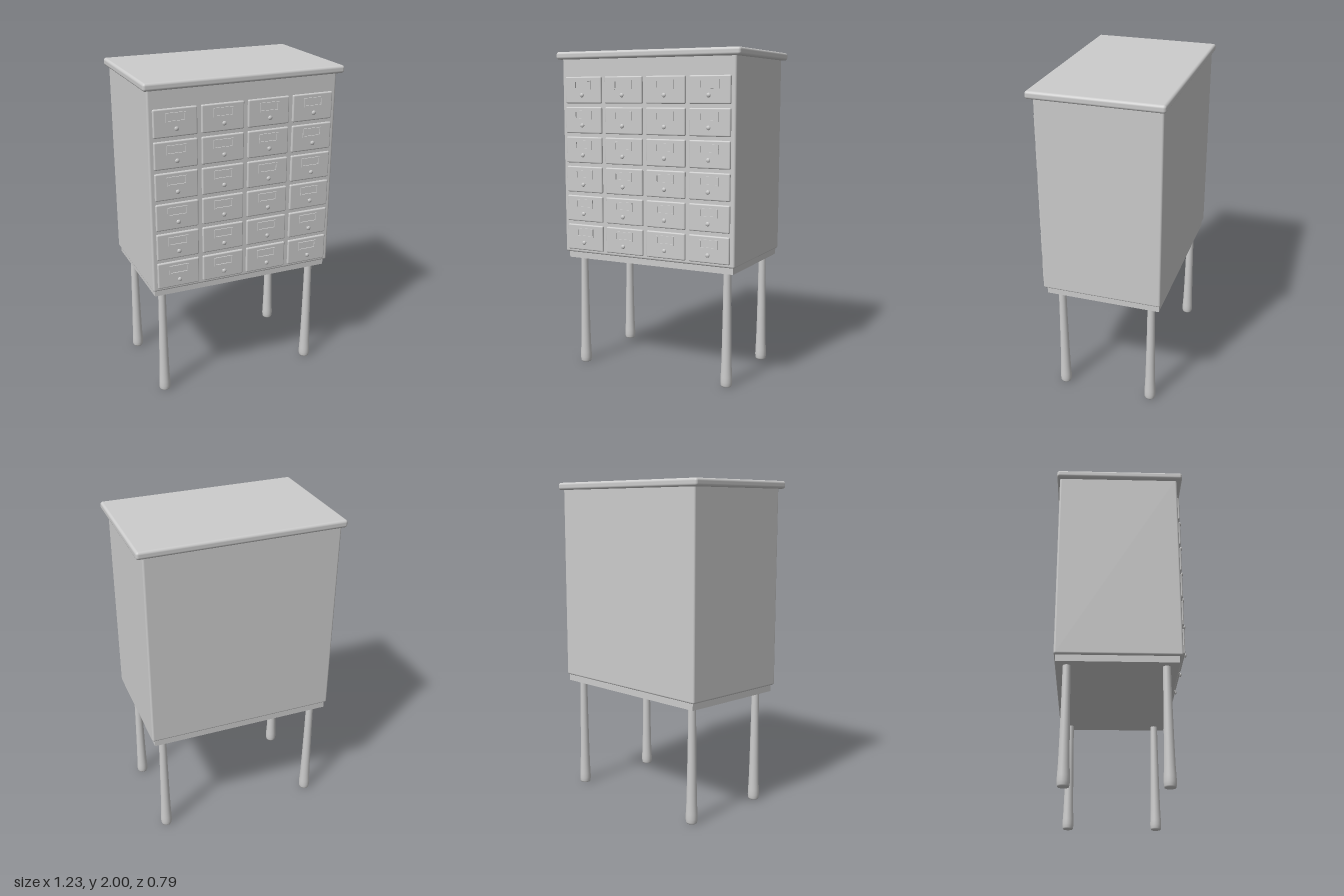
import * as THREE from 'three';
import { RoundedBoxGeometry } from 'three/addons/geometries/RoundedBoxGeometry.js';

const material = new THREE.MeshStandardMaterial({ color: 0xcccccc });
const CX = -0.004; // centre line of the cabinet body

function add(parent, name, geometry, x, y, z) {
  const mesh = new THREE.Mesh(geometry, material);
  mesh.name = name;
  mesh.position.set(x, y, z);
  parent.add(mesh);
  return mesh;
}

const lathe = (points, sides) =>
  new THREE.LatheGeometry(points.map(([r, y]) => new THREE.Vector2(r, y)), sides);

// Rectangular card frame with an open window
function cardFrameGeometry(w, h, bar, depth) {
  const rect = (target, a, b) => {
    target.moveTo(-a, -b);
    target.lineTo(a, -b);
    target.lineTo(a, b);
    target.lineTo(-a, b);
    target.closePath();
    return target;
  };
  const shape = rect(new THREE.Shape(), w / 2, h / 2);
  shape.holes.push(rect(new THREE.Path(), w / 2 - bar, h / 2 - bar));
  return new THREE.ExtrudeGeometry(shape, { depth, bevelEnabled: false });
}

export function createModel() {
  const model = new THREE.Group();
  model.name = 'drawerCabinet';

  // Carcass, overhanging top and recessed base
  add(model, 'body', new RoundedBoxGeometry(1.17, 1.225, 0.735, 3, 0.012), CX, 1.3575, -0.0105);
  add(model, 'top', new RoundedBoxGeometry(1.234, 0.046, 0.785, 4, 0.016), 0, 1.977, -0.003);
  add(model, 'base', new THREE.BoxGeometry(1.14, 0.05, 0.704), CX, 0.73, -0.016);

  // Tapered legs with a rounded foot
  const legGeometry = lathe([
    [0, 0], [0.031, 0], [0.034, 0.008], [0.036, 0.03], [0.035, 0.06],
    [0.032, 0.12], [0.029, 0.25], [0.025, 0.5], [0.023, 0.71],
  ], 24);
  for (const x of [-0.504, 0.504])
    for (const z of [0.267, -0.304])
      add(model, 'leg', legGeometry, x + CX, 0, z);

  // Drawer fronts, each with a card holder and a knob
  const frontGeometry = new RoundedBoxGeometry(0.26, 0.162, 0.03, 3, 0.008);
  const frameGeometry = cardFrameGeometry(0.12, 0.054, 0.008, 0.008);
  const knobGeometry = lathe([
    [0.006, 0], [0.006, 0.008], [0.011, 0.011], [0.0135, 0.015],
    [0.012, 0.019], [0.007, 0.022], [0, 0.023],
  ], 16);
  knobGeometry.rotateX(Math.PI / 2);

  for (let row = 0; row < 6; row++) {
    for (let col = 0; col < 4; col++) {
      const drawer = new THREE.Group();
      drawer.name = 'drawer';
      drawer.position.set(CX + (col - 1.5) * 0.285, 0.847 + row * 0.184, 0.355);
      add(drawer, 'drawerFront', frontGeometry, 0, 0, 0);
      add(drawer, 'cardHolder', frameGeometry, 0, 0.031, 0.014);
      add(drawer, 'knob', knobGeometry, 0, -0.031, 0.0145);
      model.add(drawer);
    }
  }
  return model;
}
